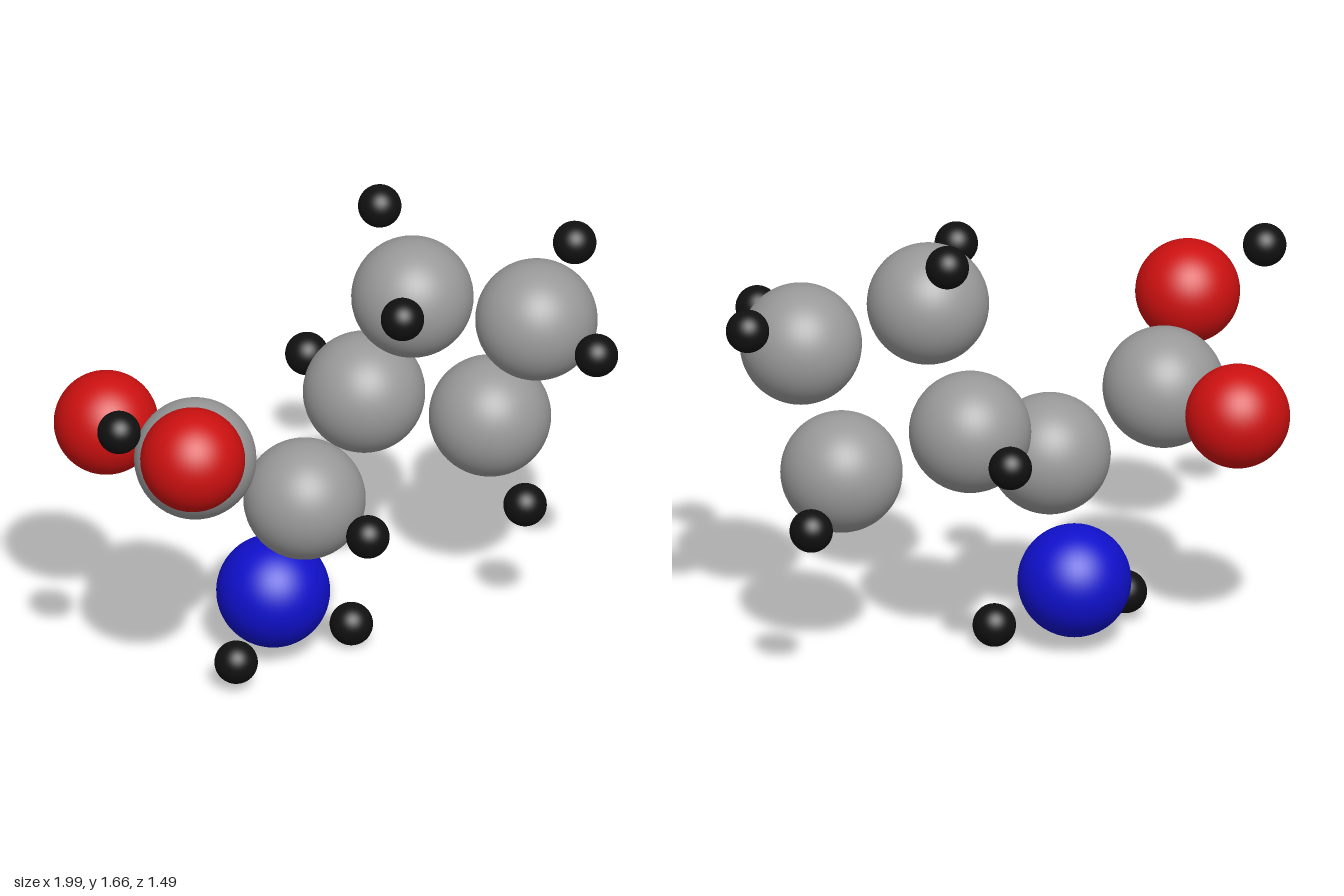
import * as THREE from 'three';

// Radius and colour of each kind of atom
const KINDS = {
  carbon: { radius: 0.217, color: 0x999999 },
  oxygen: { radius: 0.186, color: 0xcc1010 },
  nitrogen: { radius: 0.202, color: 0x1010cc },
  hydrogen: { radius: 0.077, color: 0x101010 },
};

// Atom centres, grouped by the part of the molecule they belong to
const PARTS = {
  ring: [
    ['carbon', 0.57, 0.752, -0.339],
    ['carbon', 0.727, 1.193, -0.237],
    ['carbon', 0.281, 1.342, -0.173],
    ['carbon', 0.118, 0.902, -0.281],
    ['hydrogen', 0.184, 1.582, -0.41],
    ['hydrogen', 0.219, 1.439, 0.16],
    ['hydrogen', 0.885, 1.345, -0.51],
    ['hydrogen', 0.917, 1.203, 0.057],
    ['hydrogen', 0.676, 0.517, -0.103],
    ['hydrogen', 0.639, 0.657, -0.67],
    ['hydrogen', -0.061, 0.895, -0.583],
  ],
  centre: [
    ['carbon', -0.123, 0.682, 0.082],
    ['hydrogen', 0.079, 0.68, 0.372],
  ],
  acidGroup: [
    ['carbon', -0.519, 0.917, 0.177],
    ['oxygen', -0.814, 0.928, -0.088],
    ['oxygen', -0.559, 1.129, 0.561],
    ['hydrogen', -0.826, 1.29, 0.628],
  ],
  amineGroup: [
    ['nitrogen', -0.225, 0.247, -0.034],
    ['hydrogen', -0.377, 0.106, 0.221],
    ['hydrogen', 0.056, 0.078, -0.073],
  ],
};

export function createModel() {
  const model = new THREE.Group();
  model.name = 'molecule';

  // One shared sphere and material per kind
  const shared = {};
  for (const [kind, { radius, color }] of Object.entries(KINDS)) {
    shared[kind] = {
      geometry: new THREE.SphereGeometry(radius, 48, 32),
      material: new THREE.MeshStandardMaterial({ color }),
    };
  }

  for (const [part, atoms] of Object.entries(PARTS)) {
    const group = new THREE.Group();
    group.name = part;
    for (const [kind, x, y, z] of atoms) {
      const atom = new THREE.Mesh(shared[kind].geometry, shared[kind].material);
      atom.name = kind + 'Atom';
      atom.position.set(x, y, z);
      group.add(atom);
    }
    model.add(group);
  }
  return model;
}
